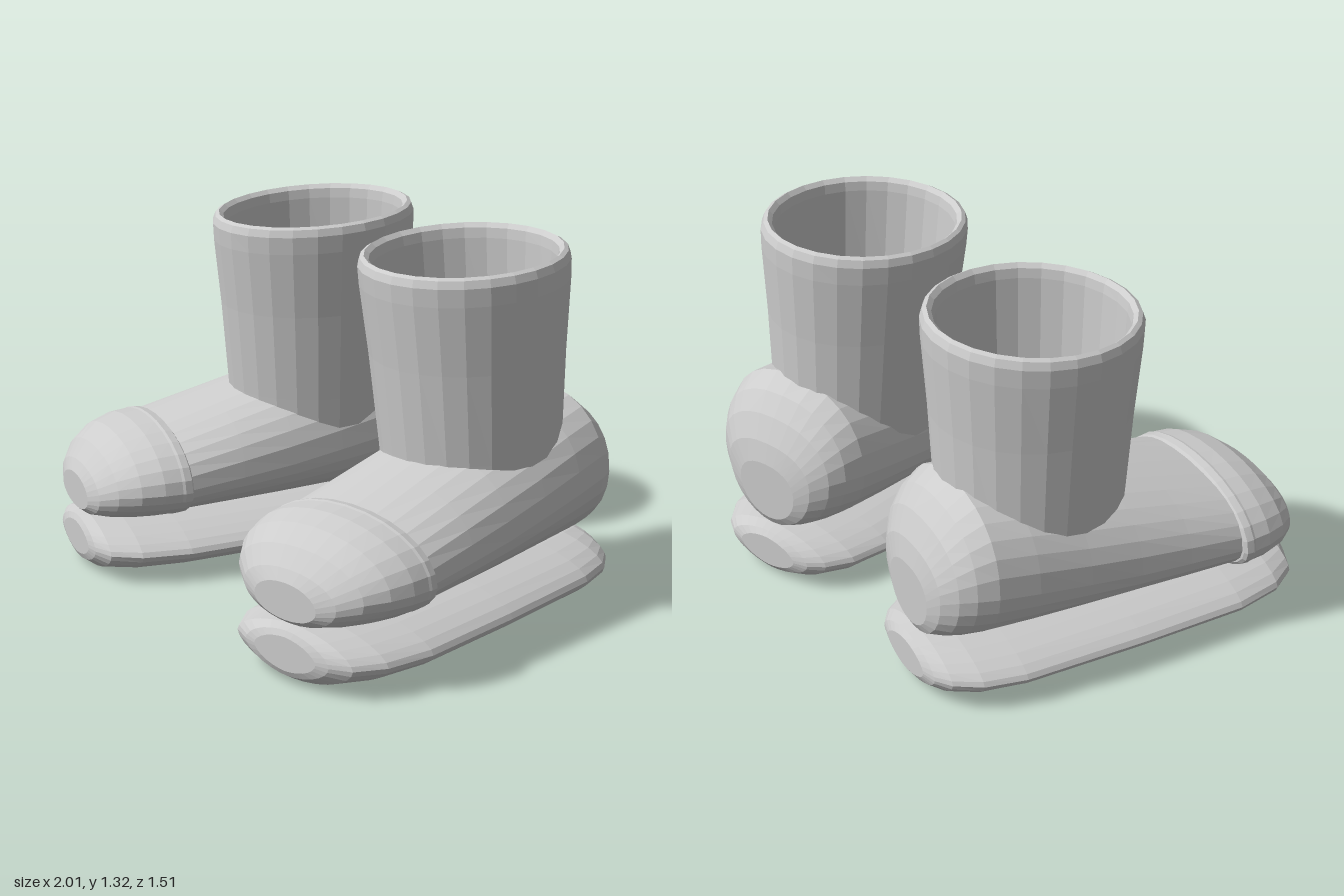
import * as THREE from 'three';

const grey = new THREE.MeshStandardMaterial({ color: 0xcccccc, flatShading: true, side: THREE.DoubleSide });
grey.name = 'plain grey';

// Closed loft from front to back; each section is [z, halfWidth, bottom, top, heightOfWidestPoint]
function loft(name, sections, power, n = 28) {
  const pos = [], idx = [];
  sections.forEach(([z, w, y0, y1, ym]) => {
    for (let j = 0; j < n; j++) {
      const a = (j / n) * Math.PI * 2, c = Math.cos(a), s = Math.sin(a);
      const e = 2 / (s > 0 ? power : Math.min(power, 2));
      const x = Math.sign(c) * Math.abs(c) ** e * w;
      const k = Math.abs(s) ** e;
      pos.push(x, s > 0 ? ym + k * (y1 - ym) : ym - k * (ym - y0), z);
    }
  });
  for (let i = 0; i < sections.length - 1; i++)
    for (let j = 0; j < n; j++) {
      const a = i * n + j, b = i * n + (j + 1) % n;
      idx.push(a, a + n, b, b, a + n, b + n);
    }
  // flat ends
  [0, sections.length - 1].forEach((i) => {
    const [z, , , , ym] = sections[i], c = pos.length / 3;
    pos.push(0, ym, z);
    for (let j = 0; j < n; j++) {
      const a = i * n + j, b = i * n + (j + 1) % n;
      if (i === 0) idx.push(c, a, b); else idx.push(c, b, a);
    }
  });
  const g = new THREE.BufferGeometry();
  g.setAttribute('position', new THREE.Float32BufferAttribute(pos, 3));
  g.setIndex(idx);
  g.computeVertexNormals();
  const m = new THREE.Mesh(g, grey);
  m.name = name;
  return m;
}

// Open ankle tube with a bevelled, backward-rising rim
function makeShaft(side) {
  const profile = [[0.305, 0.5], [0.312, 0.62], [0.335, 0.95], [0.358, 1.2], [0.361, 1.265], [0.352, 1.292],
    [0.338, 1.3], [0.322, 1.285], [0.316, 1.25], [0.3, 0.95], [0.275, 0.55]];
  const g = new THREE.LatheGeometry(profile.map((p) => new THREE.Vector2(...p)), 26);
  const p = g.attributes.position;
  for (let i = 0; i < p.count; i++) {
    const t = (p.getY(i) - 0.6) / 0.7;
    const z = p.getZ(i) * (1.085 - 0.03 * t);
    p.setXYZ(i, p.getX(i) + side * (-0.03 - 0.028 * t), p.getY(i) - 0.06 * z * Math.max(t, 0), z - 0.23 + 0.02 * t);
  }
  g.computeVertexNormals();
  const m = new THREE.Mesh(g, grey);
  m.name = 'shaft';
  return m;
}

function makeBoot(side) {
  const boot = new THREE.Group();
  boot.name = side > 0 ? 'leftBoot' : 'rightBoot';

  // lens-shaped sole
  boot.add(loft('sole', [
    [0.745, 0.14, 0.05, 0.17, 0.11], [0.735, 0.19, 0.03, 0.19, 0.11], [0.7, 0.265, 0.008, 0.202, 0.11],
    [0.6, 0.33, 0, 0.21, 0.11], [0.42, 0.366, 0, 0.21, 0.11], [0, 0.36, 0, 0.21, 0.11],
    [-0.45, 0.338, 0, 0.21, 0.11], [-0.6, 0.3, 0, 0.21, 0.11], [-0.69, 0.24, 0.008, 0.202, 0.11],
    [-0.73, 0.185, 0.03, 0.19, 0.11], [-0.745, 0.13, 0.05, 0.17, 0.11],
  ], 1.75));

  // foot and heel
  boot.add(loft('foot', [
    [0.5, 0.34, 0.21, 0.52, 0.34], [0.43, 0.355, 0.205, 0.53, 0.35], [0.2, 0.35, 0.205, 0.592, 0.37],
    [0, 0.345, 0.205, 0.645, 0.39], [-0.2, 0.34, 0.205, 0.69, 0.42], [-0.4, 0.332, 0.205, 0.745, 0.45],
    [-0.55, 0.318, 0.205, 0.77, 0.47], [-0.62, 0.292, 0.207, 0.72, 0.47], [-0.67, 0.255, 0.21, 0.65, 0.46],
    [-0.71, 0.195, 0.22, 0.56, 0.43], [-0.727, 0.13, 0.25, 0.48, 0.38],
  ], 2.3));

  // toe cap with a raised rear rim
  boot.add(loft('toeCap', [
    [0.41, 0.365, 0.21, 0.537, 0.35], [0.418, 0.378, 0.2, 0.548, 0.35], [0.445, 0.38, 0.197, 0.552, 0.35],
    [0.455, 0.376, 0.198, 0.549, 0.35], [0.52, 0.37, 0.198, 0.542, 0.35], [0.6, 0.34, 0.199, 0.515, 0.345],
    [0.67, 0.285, 0.203, 0.462, 0.335], [0.72, 0.21, 0.212, 0.4, 0.31], [0.742, 0.14, 0.23, 0.36, 0.29],
  ], 2.05));

  boot.add(makeShaft(side));

  // small bar inside the opening
  const bar = new THREE.Mesh(new THREE.CapsuleGeometry(0.03, 0.36, 3, 8), grey);
  bar.name = 'innerBar';
  bar.rotation.z = Math.PI / 2;
  bar.position.set(-0.01 * side, 0.72, -0.27);
  boot.add(bar);

  // toes turned outward
  boot.position.x = 0.545 * side;
  boot.rotation.y = 0.19 * side;
  return boot;
}

export function createModel() {
  const model = new THREE.Group();
  model.name = 'pairOfBoots';
  model.add(makeBoot(1), makeBoot(-1));
  return model;
}
